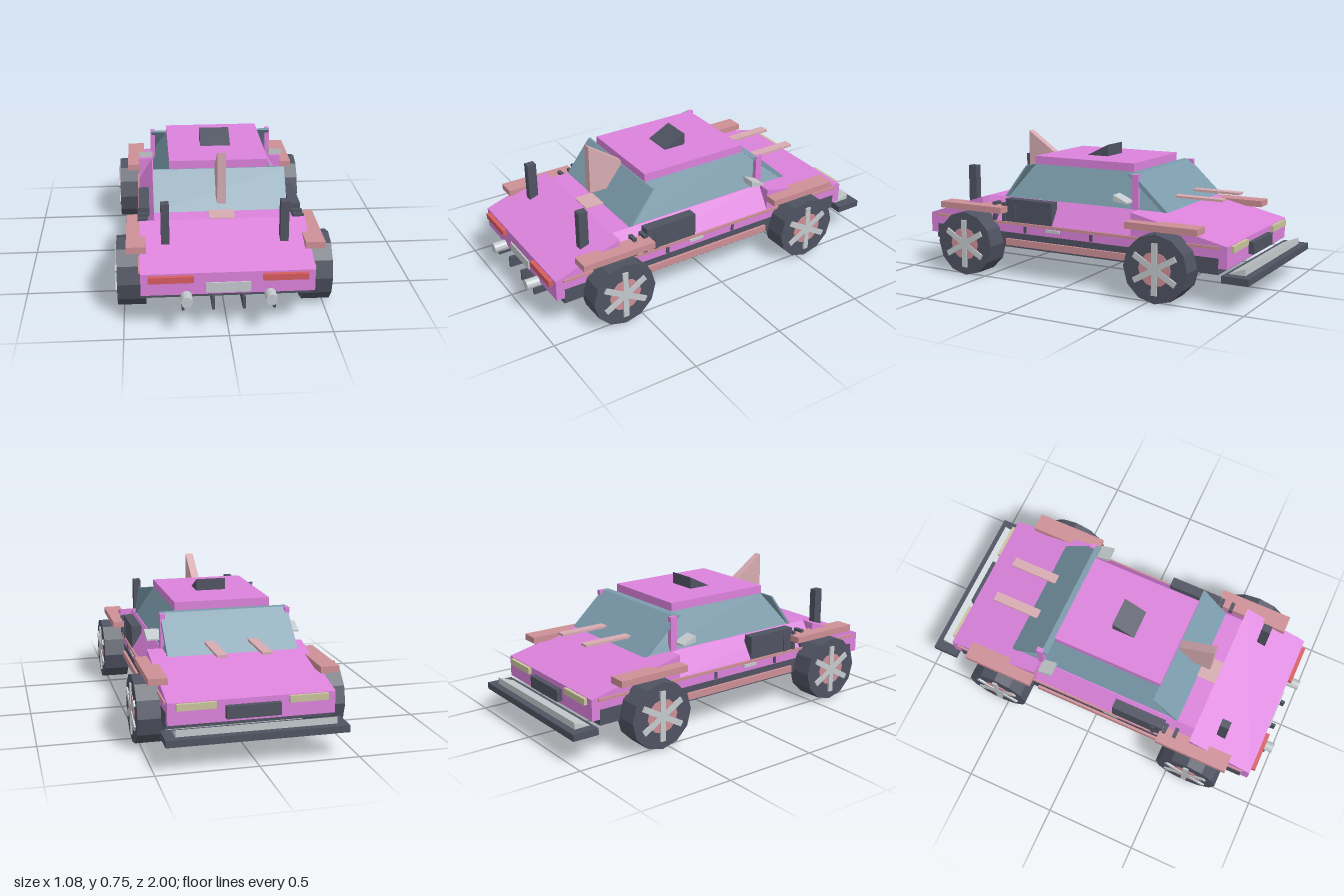
import * as THREE from 'three';

const mat = (name, color) => {
  const m = new THREE.MeshStandardMaterial({ color });
  m.name = name;
  m.flatShading = true;
  return m;
};

export function createModel() {
  const car = new THREE.Group();
  car.name = 'car';
  const pink = mat('pink paint', 0xdb82db);
  const dark = mat('dark trim', 0x4f5361);
  const glass = mat('blue glass', 0x7b9bab);
  const dusty = mat('dusty rose', 0xcc8f96);
  const pale = mat('pale rose', 0xd6abb1);
  const silver = mat('silver', 0xc3c9cd);
  const red = mat('red lamp', 0xd65c60);
  const cream = mat('cream lamp', 0xc9c39c);

  const add = (name, geo, m, parent = car) => {
    const mesh = new THREE.Mesh(geo, m);
    mesh.name = name;
    parent.add(mesh);
    return mesh;
  };
  // Box given by its minimum and maximum on each axis
  const box = (name, m, x0, x1, y0, y1, z0, z1) => {
    const g = new THREE.BoxGeometry(x1 - x0, y1 - y0, z1 - z0);
    g.translate((x0 + x1) / 2, (y0 + y1) / 2, (z0 + z1) / 2);
    return add(name, g, m);
  };
  const pair = (name, m, x0, x1, ...rest) => {
    box(name + 'Left', m, x0, x1, ...rest);
    box(name + 'Right', m, -x1, -x0, ...rest);
  };
  const extrude = (points, depth) => new THREE.ExtrudeGeometry(
    new THREE.Shape(points.map(([a, b]) => new THREE.Vector2(a, b))),
    { depth, bevelEnabled: false });
  // Side profile of [z, y] points, swept from x0 to x1
  const prism = (name, m, points, x0, x1) => {
    const g = extrude(points, x1 - x0);
    g.rotateY(-Math.PI / 2);
    g.translate(x1, 0, 0);
    return add(name, g, m);
  };

  // Body
  box('chassis', dark, -0.414, 0.414, 0.158, 0.24, -0.83, 0.89);
  box('lowerBody', pink, -0.415, 0.415, 0.24, 0.3, -0.875, 0.93);
  box('rearBumper', pink, -0.415, 0.415, 0.19, 0.24, 0.885, 0.93);
  box('frontBumper', pink, -0.415, 0.415, 0.19, 0.24, -0.875, -0.83);
  prism('hood', pink, [[-0.875, 0.3], [-0.35, 0.3], [-0.35, 0.42]], -0.415, 0.415);
  prism('trunk', pink, [[0.93, 0.3], [0.57, 0.42], [0.57, 0.3]], -0.415, 0.415);
  const shoulders = extrude([[-0.415, 0.3], [0.415, 0.3], [0.34, 0.42], [-0.34, 0.42]], 0.92);
  shoulders.translate(0, 0, -0.35);
  add('shoulders', shoulders, pink);

  // Cabin: tapered core, overhanging front and rear glass, roof
  const core = new THREE.BoxGeometry(2, 1, 2);
  const p = core.attributes.position;
  for (let i = 0; i < p.count; i++) {
    const top = p.getY(i) > 0, front = p.getZ(i) < 0;
    p.setXYZ(i, p.getX(i) * (top ? 0.255 : 0.335), top ? 0.6 : 0.42,
      front ? (top ? -0.3 : -0.5) : (top ? 0.32 : 0.455));
  }
  core.computeVertexNormals();
  add('sideWindows', core, glass);
  prism('windshield', glass, [[-0.52, 0.42], [-0.325, 0.6], [-0.29, 0.6], [-0.49, 0.42]], -0.34, 0.34);
  prism('rearWindow', glass, [[0.47, 0.42], [0.33, 0.6], [0.32, 0.6], [0.45, 0.42]], -0.34, 0.34);
  box('roof', pink, -0.255, 0.255, 0.6, 0.643, -0.285, 0.325);
  pair('pillar', pink, 0.32, 0.345, 0.42, 0.6, -0.355, -0.318);
  prism('roofScoop', dark, [[0.095, 0.643], [-0.03, 0.706], [-0.03, 0.643]], -0.08, 0.08);
  prism('roofFin', pale, [[0.52, 0.75], [0.52, 0.48], [0.33, 0.48], [0.33, 0.62]], -0.022, 0.022);
  box('finPlate', pale, -0.065, 0.065, 0.418, 0.425, 0.45, 0.57);
  pair('hoodStrip', pale, 0.088, 0.14, 0.462, 0.474, -0.73, -0.43);
  pair('trunkPost', dark, 0.27, 0.311, 0.36, 0.57, 0.688, 0.738);

  // Fittings repeated on both sides
  for (const s of [1, -1]) {
    const mirror = [[-0.246, 0.5], [-0.246, 0.467], [-0.325, 0.457], [-0.325, 0.465]];
    prism('sideMirror', silver, mirror, s > 0 ? 0.335 : -0.41, s > 0 ? 0.41 : -0.335);
  }
  pair('sideRail', dusty, 0.41, 0.424, 0.285, 0.299, -0.84, 0.89);
  pair('sill', dusty, 0.41, 0.428, 0.17, 0.206, -0.34, 0.41);
  pair('sidePod', dark, 0.363, 0.418, 0.3, 0.424, 0.12, 0.412);
  pair('doorHandle', silver, 0.41, 0.424, 0.264, 0.279, 0.07, 0.155);
  for (const z of [0.29, -0.12]) pair('sideTab', dark, 0.41, 0.42, 0.245, 0.28, z - 0.008, z + 0.008);
  for (const z of [0.485, 0.425, 0.36]) pair('ventSlat', dark, 0.37, 0.424, 0.3, 0.4, z - 0.01, z + 0.01);

  // Wheels with fender plates
  const tyre = new THREE.CylinderGeometry(0.175, 0.175, 0.14, 12);
  const hub = new THREE.CylinderGeometry(0.088, 0.088, 0.006, 12);
  for (const g of [tyre, hub]) g.rotateZ(-Math.PI / 2);
  for (const z of [0.61, -0.545]) {
    pair('fenderPlate', dusty, 0.385, 0.481, 0.35, 0.384,
      z > 0 ? 0.402 : -0.745, z > 0 ? 0.806 : -0.35);
    for (const s of [1, -1]) {
      const wheel = new THREE.Group();
      wheel.name = 'wheel';
      wheel.position.set(s * 0.46, 0.175, z);
      add('tyre', tyre, dark, wheel);
      add('hubDisc', hub, dusty, wheel).position.x = s * 0.071;
      for (let i = 0; i < 3; i++) {
        const spoke = add('spokePair', new THREE.BoxGeometry(0.01, 0.262, 0.03), silver, wheel);
        spoke.position.x = s * 0.074;
        spoke.rotation.x = i * Math.PI / 3;
      }
      car.add(wheel);
    }
  }

  // Nose
  pair('headlight', cream, 0.18, 0.375, 0.264, 0.297, -0.893, -0.87);
  box('grille', dark, -0.135, 0.135, 0.21, 0.272, -0.905, -0.87);
  box('splitter', dark, -0.448, 0.448, 0.13, 0.165, -1, -0.86);
  prism('splitterWedge', silver, [[-0.875, 0.165], [-0.962, 0.2], [-0.962, 0.165]], -0.395, 0.395);

  // Tail
  pair('tailLight', red, 0.165, 0.381, 0.26, 0.291, 0.92, 0.952);
  box('rearPlate', silver, -0.108, 0.108, 0.2, 0.25, 0.925, 0.938);
  for (const x of [-0.217, -0.073, 0.073, 0.217]) {
    box('diffuserFin', dark, x - 0.007, x + 0.007, 0.124, 0.185, 0.825, 0.965);
  }
  for (const s of [1, -1]) {
    const pipe = new THREE.CylinderGeometry(0.028, 0.028, 0.12, 12);
    pipe.rotateX(Math.PI / 2);
    add('exhaustPipe', pipe, silver).position.set(s * 0.2, 0.182, 0.94);
  }
  return car;
}
